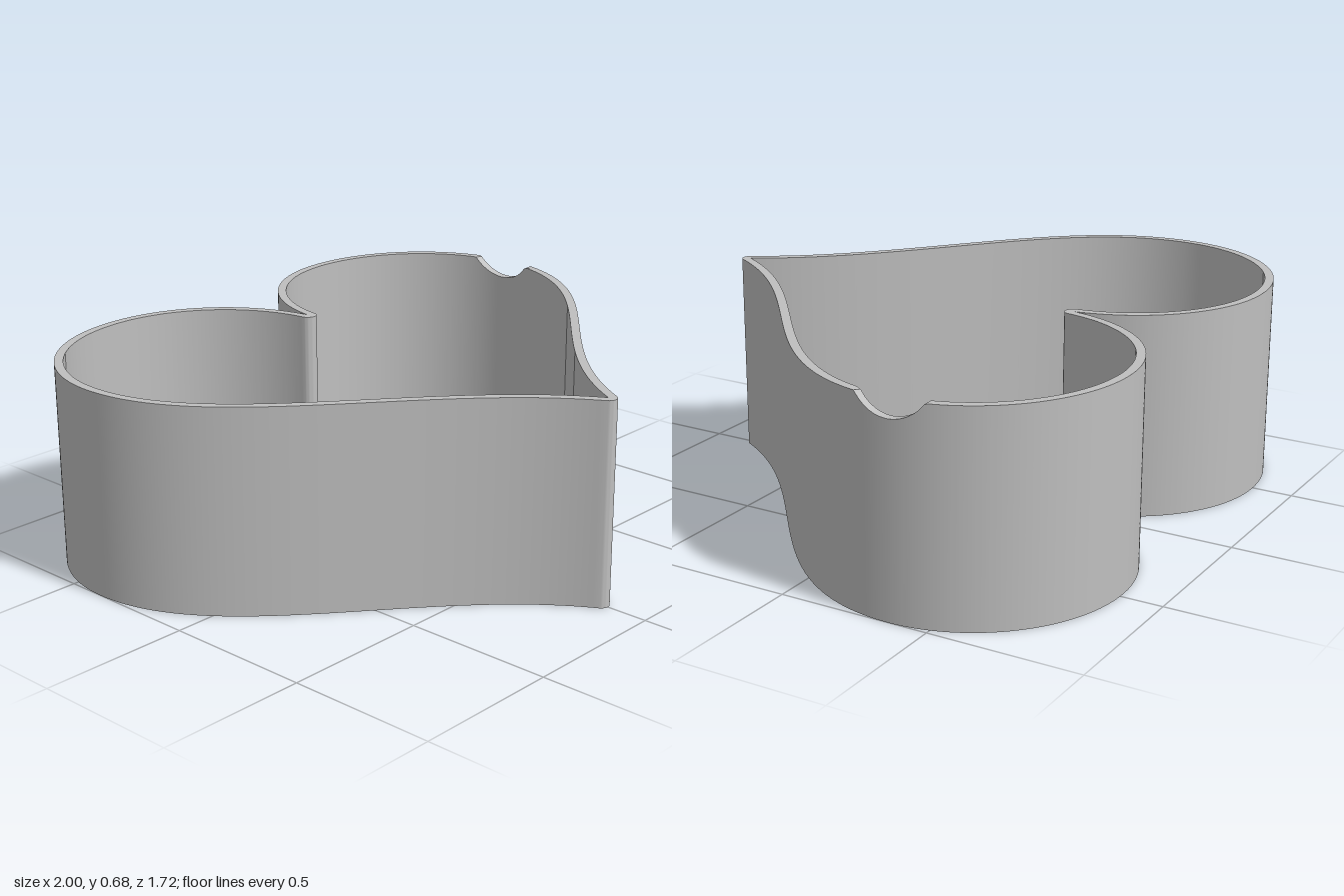
import * as THREE from 'three';
import { toCreasedNormals } from 'three/addons/utils/BufferGeometryUtils.js';

const HEIGHT = 0.68, FLOOR = 0.03, WALL = 0.029;
const NOTCH = { z: -0.375, y: 0.76, r: 0.14 };
const CLEFT = -0.43, TIP = 0.83; // z of the sharp outer cleft and sharp inner tip

const v2 = (x, z) => new THREE.Vector2(x, z);

// Outer outline of the +x half in (x, z), from cleft to tip
const halfCurves = [
  [v2(0, CLEFT), v2(0.03, -0.67), v2(0.23, -0.862), v2(0.487, -0.862)],
  [v2(0.487, -0.862), v2(0.77, -0.862), v2(1, -0.64), v2(1, -0.37)],
  [v2(1, -0.37), v2(1, 0.15), v2(0.3, 0.35), v2(0.0255, 0.844)],
].map((p) => new THREE.CubicBezierCurve(...p));

// Matching outer and inner points around the closed heart
function wallSections() {
  const half = [];
  const arc = (z, a) => v2(Math.sin(a) * WALL, z + Math.cos(a) * WALL);
  // inner rounding behind the cleft
  for (let i = 0; i < 8; i++) half.push({ o: v2(0, CLEFT), i: arc(CLEFT, (1.446 * i) / 8) });
  // walls of constant thickness
  halfCurves.forEach((c, k) => {
    const n = 80;
    for (let j = k ? 1 : 0; j <= n; j++) {
      const o = c.getPoint(j / n), t = c.getTangent(j / n);
      half.push({ o, i: v2(Math.max(0, o.x - t.y * WALL), o.y + t.x * WALL) });
    }
  });
  // outer rounding at the tip
  half[half.length - 1].i.set(0, TIP);
  for (let i = 1; i <= 8; i++) half.push({ o: arc(TIP, 1.072 * (1 - i / 8)), i: v2(0, TIP) });

  const mirror = (p) => v2(-p.x, p.y);
  const other = half.slice(1, -1).reverse().map((s) => ({ o: mirror(s.o), i: mirror(s.i) }));
  return [...half, ...other];
}

// Rim height, lowered by the round thumb notch on the +x side
function rim(p) {
  const d = p.y - NOTCH.z;
  if (p.x < 0.8 || Math.abs(d) >= NOTCH.r) return HEIGHT;
  return Math.min(HEIGHT, NOTCH.y - Math.sqrt(NOTCH.r ** 2 - d * d));
}

function wallGeometry(sections) {
  const pos = [];
  const at = (p, y) => [p.x, y, p.y];
  const quad = (a, b, c, d) => pos.push(...a, ...b, ...c, ...a, ...c, ...d);
  const tri = (a, b, c) => pos.push(...a, ...b, ...c);
  sections.forEach((s, k) => {
    const n = sections[(k + 1) % sections.length];
    const oc = at(s.o, rim(s.o)), on = at(n.o, rim(n.o));
    const ic = at(s.i, rim(s.i)), inn = at(n.i, rim(n.i));
    const sameO = s.o.distanceTo(n.o) < 1e-5, sameI = s.i.distanceTo(n.i) < 1e-5;
    if (!sameO) quad(at(n.o, 0), at(s.o, 0), oc, on);
    if (!sameI) quad(at(s.i, FLOOR), at(n.i, FLOOR), inn, ic);
    if (sameO) tri(ic, inn, oc);
    else if (sameI) tri(ic, on, oc);
    else quad(ic, inn, on, oc);
  });
  const g = new THREE.BufferGeometry();
  g.setAttribute('position', new THREE.Float32BufferAttribute(pos, 3));
  return toCreasedNormals(g, 0.5);
}

// Flat heart plate facing up (dir 1) or down (dir -1)
function plate(points, y, dir) {
  const outline = points
    .filter((p, k) => p.distanceTo(points[(k + 1) % points.length]) > 1e-5)
    .map((p) => v2(p.x, -dir * p.y));
  const g = new THREE.ShapeGeometry(new THREE.Shape(outline));
  return g.rotateX((-dir * Math.PI) / 2).translate(0, y, 0);
}

export function createModel() {
  const group = new THREE.Group();
  group.name = 'heartBox';
  const grey = new THREE.MeshStandardMaterial({ color: 0xbfbfbf });
  grey.name = 'plain grey';

  const sections = wallSections();
  const add = (name, geometry) => {
    const mesh = new THREE.Mesh(geometry, grey);
    mesh.name = name;
    group.add(mesh);
  };
  add('wall', wallGeometry(sections));
  add('floor', plate(sections.map((s) => s.i), FLOOR, 1));
  add('base', plate(sections.map((s) => s.o), 0, -1));
  return group;
}
